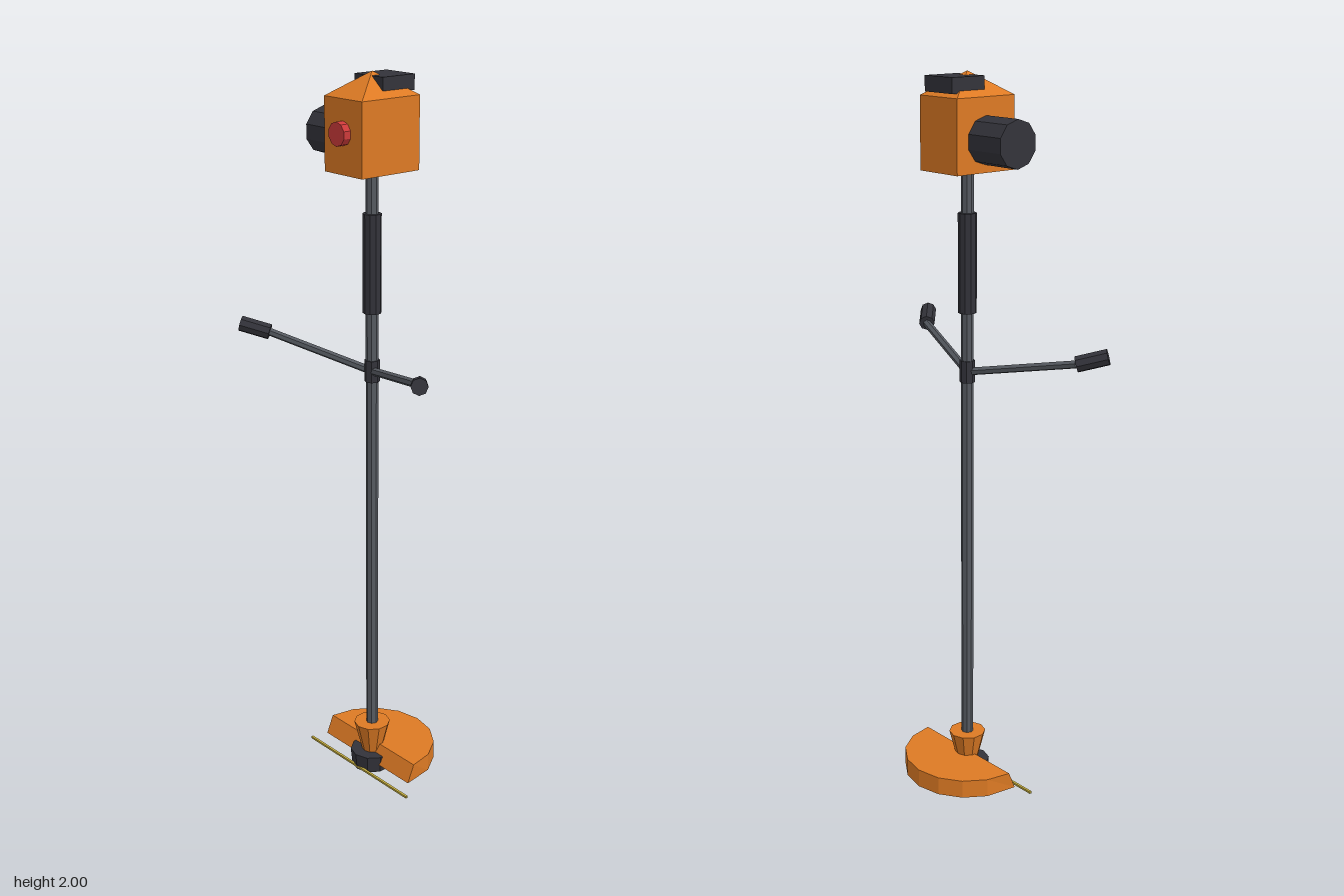
import * as THREE from 'three';

const flat = (name, color) => {
  const m = new THREE.MeshStandardMaterial({ color, flatShading: true });
  m.name = name;
  return m;
};

export function createModel() {
  const orange = flat('orange housing', 0xdd7a24);
  const black = flat('black rubber', 0x33333a);
  const steel = flat('grey steel', 0x565a61);
  const red = flat('red cap', 0xcc3a3a);
  const yellow = flat('yellow line', 0xc8b040);

  const group = new THREE.Group();
  group.name = 'stringTrimmer';

  const add = (name, geometry, material, x = 0, y = 0, z = 0) => {
    const mesh = new THREE.Mesh(geometry, material);
    mesh.name = name;
    mesh.position.set(x, y, z);
    group.add(mesh);
    return mesh;
  };

  // Upright tube between two heights
  const upright = (name, rTop, rBottom, y0, y1, sides, material) =>
    add(name, new THREE.CylinderGeometry(rTop, rBottom, y1 - y0, sides), material, 0, (y0 + y1) / 2, 0);

  // Rod between two points
  const rod = (name, from, to, radius, sides, material) => {
    const a = new THREE.Vector3(...from);
    const dir = new THREE.Vector3(...to).sub(a);
    const mesh = add(name, new THREE.CylinderGeometry(radius, radius, dir.length(), sides), material);
    mesh.position.copy(a).addScaledVector(dir, 0.5);
    mesh.quaternion.setFromUnitVectors(new THREE.Vector3(0, 1, 0), dir.normalize());
  };

  // Shaft with its sleeve and handle clamp
  upright('shaft', 0.017, 0.017, 0.1, 1.76, 8, steel);
  upright('shaftGrip', 0.025, 0.025, 1.375, 1.64, 10, black);
  upright('handleClamp', 0.021, 0.021, 1.185, 1.245, 8, black);

  // Handlebars and their grips
  for (const [side, s] of [['left', 1], ['right', -1]]) {
    const joint = [s * 0.304, 1.275, 0.109];
    rod(side + 'Handlebar', [0, 1.213, 0], joint, 0.011, 6, steel);
    rod(side + 'HandleGrip', joint, [s * 0.364, 1.297, 0.164], 0.022, 8, black);
  }

  // Engine housing with a pyramid lid
  add('engineHousing', new THREE.BoxGeometry(0.146, 0.19, 0.192), orange, 0, 1.845, 0);
  const lid = new THREE.ConeGeometry(Math.SQRT1_2, 0.06, 4, 1, true);
  lid.rotateY(Math.PI / 4);
  lid.scale(0.146, 1, 0.192);
  add('engineLid', lid, orange, 0, 1.97, 0);
  add('airFilter', new THREE.BoxGeometry(0.107, 0.04, 0.107), black, 0, 1.97, -0.042);

  // Muffler on the right side, with a vertex at the top
  const muffler = new THREE.CylinderGeometry(0.062, 0.062, 0.125, 10);
  muffler.rotateY(Math.PI / 2).rotateZ(Math.PI / 2);
  add('muffler', muffler, black, -0.13, 1.832, 0);

  // Starter cap on the front
  const cap = new THREE.CylinderGeometry(0.031, 0.031, 0.03, 10);
  cap.rotateX(Math.PI / 2);
  add('starterCap', cap, red, 0, 1.855, 0.103);

  // Cutting head
  upright('gearHead', 0.052, 0.028, 0.045, 0.14, 10, orange);
  upright('spoolHub', 0.063, 0.058, 0, 0.05, 10, black);
  add('cuttingLine', new THREE.BoxGeometry(0.426, 0.006, 0.007), yellow, 0, 0.008, 0.055);

  // Half-disc guard; its front face slopes forward towards the bottom
  const outline = [];
  for (let i = 0; i <= 8; i++) {
    const a = (i / 8) * Math.PI;
    outline.push(new THREE.Vector2(0.181 * Math.cos(a), 0.181 * Math.sin(a)));
  }
  const guard = new THREE.ExtrudeGeometry(new THREE.Shape(outline), { depth: 0.052, bevelEnabled: false });
  guard.rotateX(-Math.PI / 2);
  const p = guard.attributes.position;
  for (let i = 0; i < p.count; i++) {
    if (p.getY(i) < 0.01 && p.getZ(i) > -0.01) p.setZ(i, 0.022);
  }
  guard.computeVertexNormals();
  add('guard', guard, orange, 0, 0.024, 0);

  return group;
}
